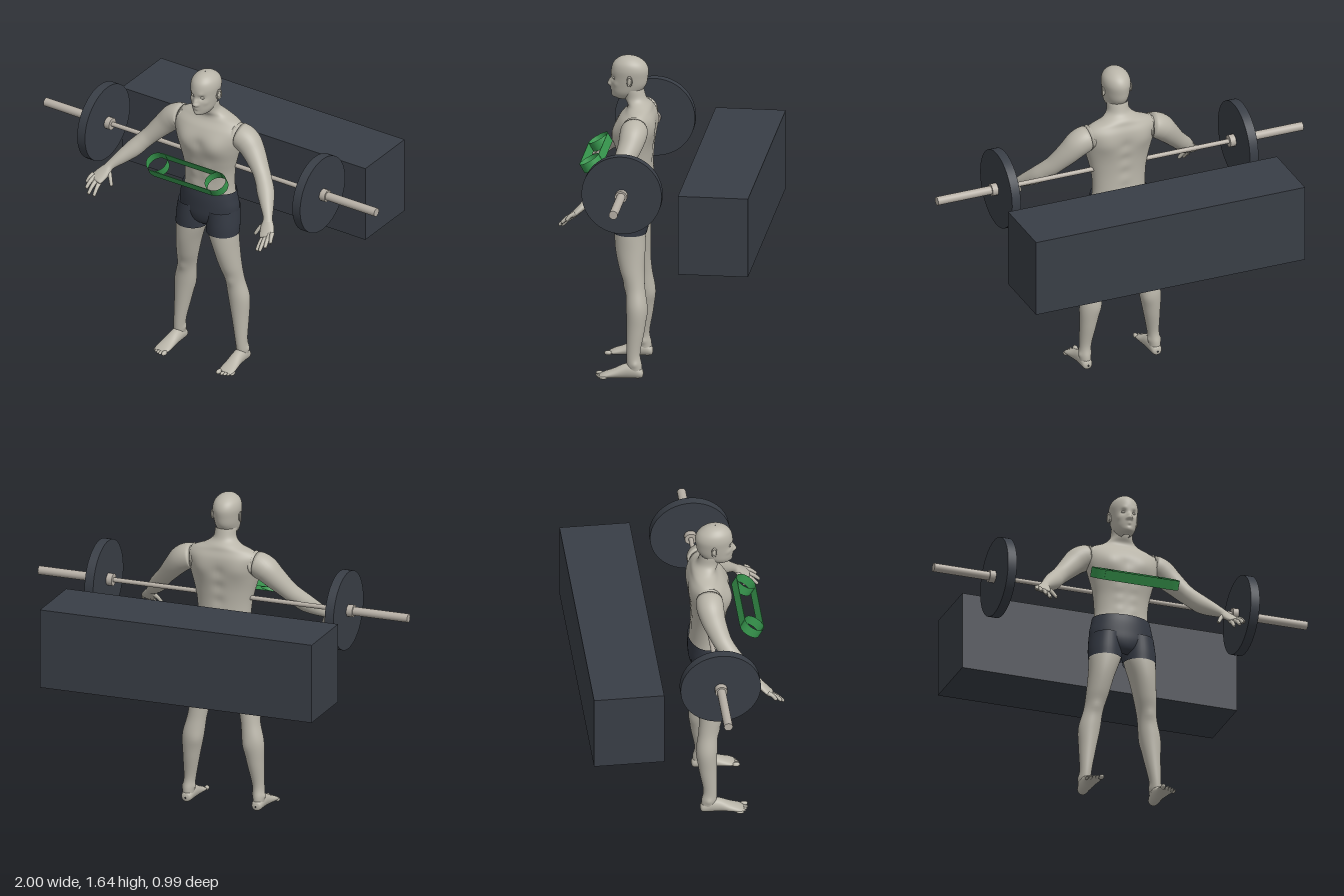
import * as THREE from 'three';

const mat = (name, color, side = THREE.FrontSide) => {
  const m = new THREE.MeshStandardMaterial({ color, side });
  m.name = name;
  return m;
};

export function createModel() {
  const root = new THREE.Group();
  root.name = 'liftingScene';
  const skin = mat('skin', 0xb9b5a9);
  const cloth = mat('shortsCloth', 0x333842, THREE.DoubleSide);
  const dark = mat('darkIron', 0x393e46);
  const steel = mat('steel', 0xb7b0a6);
  const green = mat('greenBand', 0x38994f, THREE.DoubleSide);

  const add = (name, geo, material, parent = root) => {
    const m = new THREE.Mesh(geo, material);
    m.name = name;
    parent.add(m);
    return m;
  };
  const group = (name, parent = root) => {
    const g = new THREE.Group();
    g.name = name;
    parent.add(g);
    return g;
  };
  const ball = (name, p, r, parent) => {
    const m = add(name, new THREE.SphereGeometry(1, 16, 12), skin, parent);
    m.position.set(...p);
    m.scale.set(...r);
    return m;
  };

  // Smooth skin through elliptical sections [x, y, z, radiusU, radiusV];
  // sections face "dir", or follow the path when it is omitted
  function loft(rows, dir, steps = 30, seg = 28) {
    const path = new THREE.CatmullRomCurve3(rows.map(r => new THREE.Vector3(r[0], r[1], r[2])), false, 'catmullrom');
    const size = new THREE.CatmullRomCurve3(rows.map(r => new THREE.Vector3(r[3], r[4], 0)), false, 'catmullrom');
    const pos = [], idx = [];
    for (let i = 0; i <= steps; i++) {
      const p = path.getPoint(i / steps), s = size.getPoint(i / steps);
      const T = dir ? dir : path.getTangent(i / steps);
      const U = new THREE.Vector3(1, 0, 0).addScaledVector(T, -T.x).normalize();
      const V = U.clone().cross(T);
      for (let j = 0; j < seg; j++) {
        const a = j / seg * Math.PI * 2;
        const q = p.clone().addScaledVector(U, Math.cos(a) * s.x).addScaledVector(V, Math.sin(a) * s.y);
        pos.push(q.x, q.y, q.z);
        if (i < steps) {
          const k = (j + 1) % seg, A = i * seg + j, B = A + seg, C = i * seg + k, D = C + seg;
          idx.push(A, B, C, C, B, D);
        }
      }
    }
    const g = new THREE.BufferGeometry();
    g.setAttribute('position', new THREE.Float32BufferAttribute(pos, 3));
    g.setIndex(idx);
    g.computeVertexNormals();
    return g;
  }

  // Push the surface in or out around points [x, y, z, radius, amount], on both sides
  function sculpt(g, bumps) {
    const P = g.attributes.position, N = g.attributes.normal;
    const p = new THREE.Vector3(), n = new THREE.Vector3();
    for (let i = 0; i < P.count; i++) {
      p.fromBufferAttribute(P, i);
      n.fromBufferAttribute(N, i);
      let d = 0;
      for (const [x, y, z, r, amt] of bumps) {
        const q = (Math.abs(p.x) - x) ** 2 + (p.y - y) ** 2 + (p.z - z) ** 2;
        d += amt * Math.exp(-q / (r * r));
      }
      p.addScaledVector(n, d);
      P.setXYZ(i, p.x, p.y, p.z);
    }
    g.computeVertexNormals();
    return g;
  }
  const UP = new THREE.Vector3(0, 1, 0), FRONT = new THREE.Vector3(0, 0, 1);

  // Torso and neck
  const man = group('man');
  const abs = [1.0, 1.06, 1.12].map(y => [0.038, y, 0.24, 0.024, 0.004]);
  const spine = [1.02, 1.1, 1.18, 1.26].map(y => [0, y, 0.065, 0.03, -0.007]);
  add('torso', sculpt(loft([
    [0, 0.93, 0.157, 0.146, 0.092], [0, 1.0, 0.157, 0.14, 0.086], [0, 1.08, 0.16, 0.145, 0.086],
    [0, 1.15, 0.165, 0.16, 0.094], [0, 1.22, 0.167, 0.18, 0.103], [0, 1.28, 0.163, 0.195, 0.103],
    [0, 1.33, 0.152, 0.198, 0.09], [0, 1.365, 0.142, 0.16, 0.068], [0, 1.39, 0.143, 0.098, 0.06],
    [0, 1.42, 0.163, 0.06, 0.055], [0, 1.47, 0.178, 0.055, 0.054]], UP, 70, 64), [
    [0.085, 1.245, 0.26, 0.055, 0.015], [0, 1.25, 0.275, 0.03, -0.006],
    [0.1, 1.28, 0.07, 0.06, 0.012], ...abs, ...spine]), skin, man);

  // Head and face
  const head = group('head', man);
  add('skull', sculpt(loft([
    [0, 1.415, 0.225, 0.018, 0.03], [0, 1.43, 0.222, 0.038, 0.056], [0, 1.455, 0.211, 0.053, 0.074],
    [0, 1.49, 0.2, 0.061, 0.089], [0, 1.53, 0.195, 0.067, 0.093], [0, 1.57, 0.193, 0.071, 0.094],
    [0, 1.602, 0.195, 0.064, 0.082], [0, 1.625, 0.198, 0.045, 0.057], [0, 1.637, 0.2, 0.022, 0.029],
    [0, 1.64, 0.2, 0.001, 0.001]], UP, 80, 80), [
    [0.027, 1.528, 0.275, 0.015, -0.011], [0.025, 1.547, 0.28, 0.013, 0.004],
    [0, 1.51, 0.288, 0.01, 0.009], [0, 1.492, 0.289, 0.012, 0.018], [0.011, 1.488, 0.287, 0.007, 0.005],
    [0, 1.465, 0.284, 0.011, 0.005], [0, 1.451, 0.284, 0.006, -0.003],
    [0, 1.435, 0.277, 0.015, 0.006], [0.042, 1.5, 0.26, 0.015, 0.003]]), skin, head);
  for (const s of [1, -1]) {
    ball('eye', [s * 0.027, 1.527, 0.268], [0.011, 0.007, 0.009], head);
    ball('ear', [s * 0.07, 1.522, 0.187], [0.008, 0.025, 0.014], head).rotation.set(-0.2, s * -0.35, 0);
    const rim = add('earRim', new THREE.TorusGeometry(0.016, 0.004, 8, 20), skin, head);
    rim.position.set(s * 0.075, 1.525, 0.186);
    rim.rotation.y = Math.PI / 2 - s * 0.3;
    rim.scale.set(0.8, 1.45, 1);
  }

  // Shorts: seat and legs
  const shorts = group('shorts', man);
  add('shortsSeat', loft([
    [0, 0.765, 0.17, 0.04, 0.05], [0, 0.79, 0.168, 0.1, 0.08], [0, 0.83, 0.163, 0.158, 0.096],
    [0, 0.88, 0.16, 0.168, 0.1], [0, 0.93, 0.16, 0.159, 0.099], [0, 0.97, 0.158, 0.151, 0.096]], UP, 24, 48), cloth, shorts);

  for (const s of [1, -1]) {
    const side = s > 0 ? 'left' : 'right';
    const flip = rows => rows.map(([x, ...rest]) => [s * x, ...rest]);
    add(side + 'ShortsLeg', loft(flip([
      [0.092, 0.738, 0.18, 0.085, 0.083], [0.09, 0.79, 0.173, 0.086, 0.09], [0.085, 0.87, 0.163, 0.082, 0.096]]), UP, 12, 36), cloth, shorts);

    // Leg
    const leg = group(side + 'Leg', man);
    add('legSkin', sculpt(loft(flip([
      [0.19, 0.025, 0.143, 0.028, 0.036], [0.19, 0.07, 0.146, 0.03, 0.038], [0.185, 0.13, 0.152, 0.031, 0.035],
      [0.173, 0.25, 0.142, 0.044, 0.046], [0.162, 0.36, 0.138, 0.056, 0.053], [0.144, 0.46, 0.148, 0.05, 0.05],
      [0.128, 0.55, 0.166, 0.057, 0.062], [0.111, 0.65, 0.176, 0.066, 0.075], [0.094, 0.74, 0.179, 0.08, 0.079],
      [0.088, 0.79, 0.172, 0.08, 0.08]]), UP, 60, 36), [
      [0.145, 0.465, 0.2, 0.025, 0.006], [0.13, 0.34, 0.09, 0.035, 0.005],
      [0.158, 0.08, 0.146, 0.014, 0.006], [0.22, 0.075, 0.142, 0.014, 0.006]]), skin, leg);

    // Foot and toes
    add('foot', loft(flip([
      [0.19, 0.026, 0.1, 0.004, 0.004], [0.19, 0.028, 0.11, 0.025, 0.025], [0.19, 0.039, 0.155, 0.031, 0.039],
      [0.19, 0.036, 0.2, 0.033, 0.036], [0.193, 0.024, 0.25, 0.038, 0.024], [0.195, 0.015, 0.295, 0.041, 0.015],
      [0.195, 0.01, 0.32, 0.034, 0.007]]), FRONT, 28, 24), skin, leg);
    for (let i = 0; i < 5; i++) {
      const r = i ? 0.0085 - i * 0.0004 : 0.012;
      ball('toe', [s * (0.165 + (i ? 0.006 : 0) + i * 0.0155), r, 0.325 - i * i * 0.0016], [r, r, 0.02], leg);
    }

    // Arm, palm, fingers
    const arm = group(side + 'Arm', man);
    add('armSkin', loft(flip([
      [0.14, 1.3, 0.15, 0.05, 0.055], [0.18, 1.302, 0.148, 0.064, 0.068], [0.225, 1.28, 0.15, 0.066, 0.068],
      [0.27, 1.235, 0.162, 0.057, 0.06], [0.33, 1.168, 0.192, 0.045, 0.049], [0.365, 1.13, 0.218, 0.043, 0.046],
      [0.4, 1.09, 0.252, 0.044, 0.045], [0.44, 1.05, 0.3, 0.034, 0.035], [0.475, 1.015, 0.345, 0.024, 0.022],
      [0.487, 0.995, 0.368, 0.028, 0.019]]), null, 50, 32), skin, arm);
    add('palm', loft(flip([
      [0.478, 1.01, 0.35, 0.022, 0.02], [0.492, 0.987, 0.375, 0.034, 0.018], [0.509, 0.962, 0.405, 0.039, 0.015],
      [0.517, 0.95, 0.422, 0.034, 0.011], [0.519, 0.946, 0.428, 0.004, 0.003]]), null, 20, 24), skin, arm);
    const fingers = [
      [[0.542, 0.966, 0.408], [0.556, 0.935, 0.445]], [[0.53, 0.957, 0.416], [0.541, 0.917, 0.472]],
      [[0.513, 0.947, 0.42], [0.518, 0.897, 0.487]], [[0.495, 0.942, 0.413], [0.492, 0.888, 0.475]],
      [[0.472, 0.99, 0.365], [0.432, 0.93, 0.402]]];
    fingers.forEach(([a, b], i) => {
      const A = new THREE.Vector3(...a), B = new THREE.Vector3(...b);
      const at = (t, r, bend = 0) => {
        const p = A.clone().lerp(B, t);
        return [p.x, p.y + bend, p.z, r, r];
      };
      add(i < 4 ? 'finger' : 'thumb', loft(flip([
        at(-0.15, 0.012), at(0.25, 0.011, 0.004), at(0.55, 0.01, 0.006), at(0.93, 0.008), at(1, 0.001)]), null, 14, 12), skin, arm);
    });
  }

  // Barbell along x
  const barbell = group('barbell');
  barbell.position.set(0, 1.117, 0.148);
  const rod = (name, x0, x1, r, material, seg = 32) => {
    const m = add(name, new THREE.CylinderGeometry(r, r, x1 - x0, seg), material, barbell);
    m.rotation.z = Math.PI / 2;
    m.position.x = (x0 + x1) / 2;
  };
  rod('bar', -0.62, 0.62, 0.012, steel);
  for (const s of [1, -1]) {
    const span = (name, a, b, r, m, seg) => rod(name, Math.min(s * a, s * b), Math.max(s * a, s * b), r, m, seg);
    span('sleeve', 0.6, 1, 0.022, steel);
    span('innerCollar', 0.597, 0.628, 0.031, steel);
    span('plate', 0.627, 0.674, 0.203, dark, 64);
    span('outerCollar', 0.673, 0.705, 0.031, steel);
  }

  // Bench block behind
  add('block', new THREE.BoxGeometry(1.472, 0.412, 0.355), dark).position.set(0, 0.939, -0.323);

  // Tilted elastic band: long loop with a ring at each end
  const band = group('elasticBand');
  band.position.set(0, 1.121, 0.365);
  band.rotation.x = 0.52;
  const R = 0.055, W = 0.05, X = 0.178;
  for (const s of [1, -1]) {
    const ring = add('bandRing', new THREE.CylinderGeometry(R, R, W, 40, 1, true), green, band);
    ring.position.x = s * X;
    const strap = add('bandStrap', new THREE.BoxGeometry(2 * X, W, 0.003), green, band);
    strap.position.z = s * R;
  }
  return root;
}
